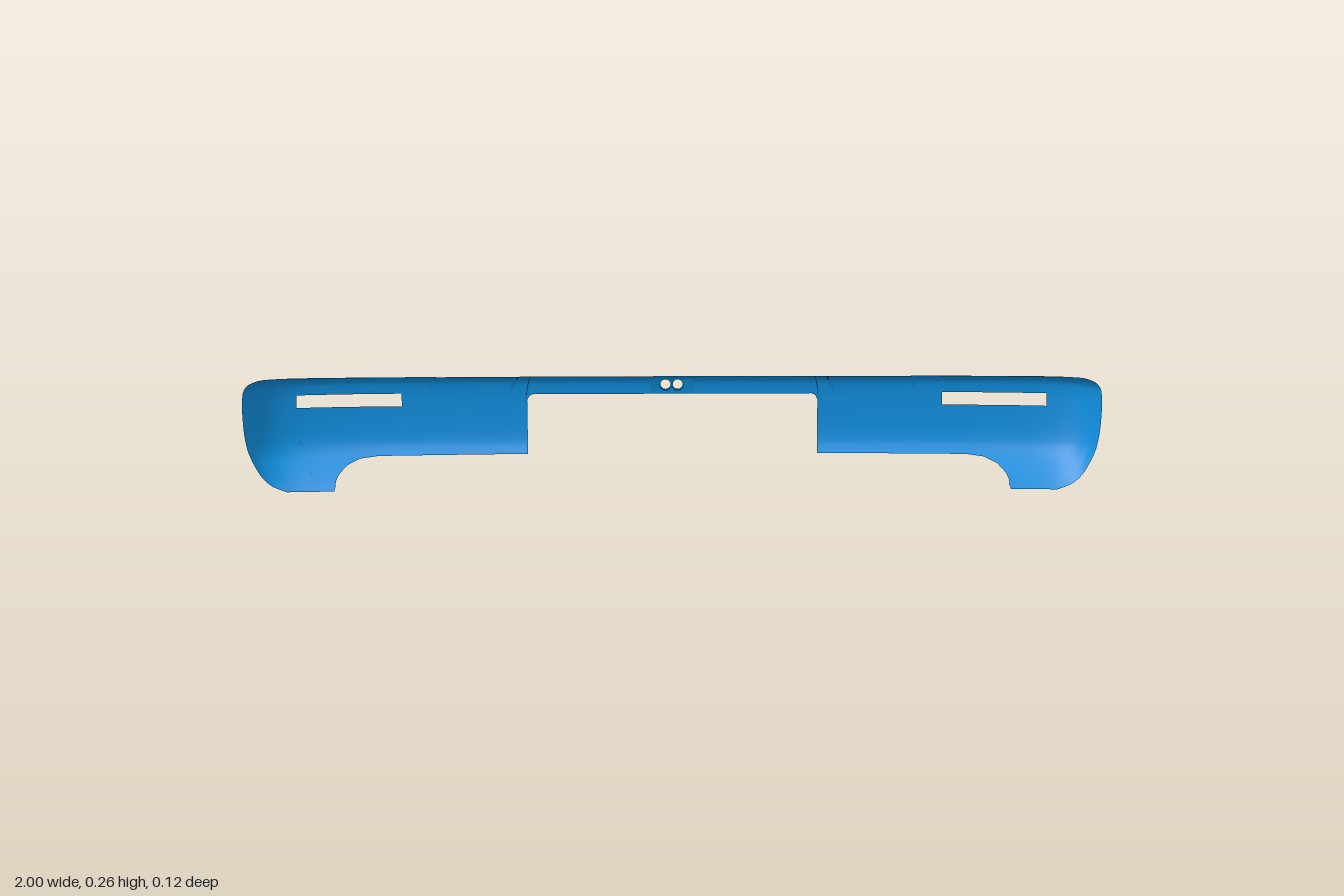
import * as THREE from 'three';

const FRONT = 0.062; // z of the open front rim

// piecewise linear / smooth lookup in a table of [key, ...values]
function segment(table, t) {
  let i = 0;
  while (i < table.length - 2 && t > table[i + 1][0]) i++;
  return i;
}
function linear(table, t) {
  const i = segment(table, t), [a, b] = [table[i], table[i + 1]];
  const f = THREE.MathUtils.clamp((t - a[0]) / (b[0] - a[0]), 0, 1);
  return a[1] + (b[1] - a[1]) * f;
}
function smooth(table, t, c = 1) {
  const i = segment(table, t), a = table[i], b = table[i + 1];
  const slope = (j) => {
    const p = table[Math.max(j - 1, 0)], q = table[Math.min(j + 1, table.length - 1)];
    return (q[c] - p[c]) / (q[0] - p[0]);
  };
  const h = b[0] - a[0], f = (t - a[0]) / h, f2 = f * f, f3 = f2 * f;
  return (2 * f3 - 3 * f2 + 1) * a[c] + (f3 - 2 * f2 + f) * h * slope(i)
    + (3 * f2 - 2 * f3) * b[c] + (f3 - f2) * h * slope(i + 1);
}

// plan curve of the outer wall: x, z
const PLAN = [[0, -0.056], [0.25, -0.056], [0.45, -0.055], [0.7, -0.046], [0.82, -0.035],
  [0.9, -0.021], [0.95, 0], [0.985, 0.036], [1, FRONT]];
// section: v, y, forward pull, narrowing of the width
const SECTION = [
  [0, 0, 0.93, 0.1], [0.012, 0.012, 0.83, 0.068], [0.035, 0.035, 0.6, 0.042],
  [0.065, 0.065, 0.3, 0.024], [0.078, 0.078, 0.19, 0.018], [0.1, 0.1, 0.09, 0.01],
  [0.14, 0.14, 0.03, 0.003], [0.2, 0.2, 0, 0], [0.235, 0.235, 0.01, 0.003],
  [0.246, 0.246, 0.04, 0.009], [0.254, 0.252, 0.1, 0.015], [0.266, 0.257, 0.22, 0.025],
  [0.29, 0.2615, 0.46, 0.037], [0.31, 0.264, 0.66, 0.05], [0.344, 0.265, 1, 0.065]];
// lower cut line and front edge of the top flange, by x
const LOWER = [[0, 0.212], [0.33, 0.212], [0.339, 0.208], [0.344, 0.198], [0.349, 0.073],
  [0.71, 0.071], [0.755, 0.066], [0.79, 0.053], [0.82, 0.033], [0.85, 0.01], [0.88, 0], [1, 0]];
const FLANGE = [[0, 0.31], [0.37, 0.31], [0.39, 0.266], [0.568, 0.266], [0.588, 0.312],
  [0.82, 0.325], [1, 0.344]];
const lower = (x) => linear(LOWER, x);
const flange = (x) => linear(FLANGE, x);

function point(x, v) {
  const z = smooth(PLAN, Math.abs(x));
  const pull = smooth(SECTION, v, 2);
  return new THREE.Vector3(x * (1 - smooth(SECTION, v, 3)), smooth(SECTION, v, 1), z + (FRONT - z) * pull);
}

// a patch of the shell between two x values and two boundary lines
function patch(x0, x1, lo, hi, cols, rows) {
  const xs = new Set();
  for (let i = 0; i <= cols; i++) xs.add(x0 + (x1 - x0) * i / cols);
  for (const [x] of [...LOWER, ...FLANGE]) if (x > x0 && x < x1) xs.add(x);
  const list = [...xs].sort((a, b) => a - b);
  const pos = [], nor = [], idx = [], e = 1e-4, n = rows + 1;
  list.forEach((x, i) => {
    for (let j = 0; j <= rows; j++) {
      const v = lo(x) + (hi(x) - lo(x)) * j / rows;
      const p = point(x, v);
      const dx = p.clone().sub(point(x - e, v));
      const dv = v > 0.2 ? p.clone().sub(point(x, v - e)) : point(x, v + e).sub(p);
      pos.push(...p.toArray());
      nor.push(...dv.cross(dx).normalize().toArray());
      if (i && j) {
        const d = i * n + j, a = d - n - 1, b = d - 1, c = d - n;
        idx.push(a, c, b, b, c, d);
      }
    }
  });
  const g = new THREE.BufferGeometry();
  g.setAttribute('position', new THREE.Float32BufferAttribute(pos, 3));
  g.setAttribute('normal', new THREE.Float32BufferAttribute(nor, 3));
  g.setIndex(idx);
  return g;
}

export function createModel() {
  const model = new THREE.Group();
  model.name = 'bumper';
  const paint = new THREE.MeshStandardMaterial({ color: 0x0f8fe0, side: THREE.DoubleSide });
  const add = (parent, name, geometry) => {
    const mesh = new THREE.Mesh(geometry, paint);
    mesh.name = name;
    parent.add(mesh);
    return mesh;
  };

  // one half of the shell, then its mirror image
  const slotLow = () => 0.185, slotHigh = () => 0.215;
  for (const side of [1, -1]) {
    const half = new THREE.Group();
    half.name = side > 0 ? 'leftHalf' : 'rightHalf';
    half.scale.x = side;
    add(half, 'centreBar', patch(0.05, 0.33, lower, flange, 10, 30));
    add(half, 'innerPanel', patch(0.33, 0.64, lower, flange, 16, 48));
    add(half, 'panelBelowSlot', patch(0.64, 0.885, lower, slotLow, 24, 32));
    add(half, 'panelAboveSlot', patch(0.64, 0.885, slotHigh, flange, 24, 24));
    add(half, 'wrapAroundEnd', patch(0.885, 1, lower, flange, 28, 56));
    model.add(half);
  }

  // middle of the bar, pierced by two round holes
  const seam = 0.249, radius = 0.012, holeY = 0.235, holeX = [-0.0165, 0.0125];
  const plate = new THREE.Shape([[-0.05, 0.212], [0.05, 0.212], [0.05, seam], [-0.05, seam]]
    .map(([x, y]) => new THREE.Vector2(x, y)));
  for (const x of holeX) plate.holes.push(new THREE.Path().absarc(x, holeY, radius, 0, Math.PI * 2, true));
  const plateGeometry = new THREE.ShapeGeometry(plate, 20);
  const p = plateGeometry.attributes.position;
  for (let i = 0; i < p.count; i++) p.setXYZ(i, ...point(p.getX(i), p.getY(i)).toArray());
  plateGeometry.computeVertexNormals();
  add(model, 'piercedPlate', plateGeometry);
  add(model, 'middleFlange', patch(-0.05, 0.05, () => seam, flange, 4, 20));

  // raised rims around the holes
  for (const x of holeX) {
    const rim = add(model, 'holeRim', new THREE.LatheGeometry(
      [[0.012, -0.004], [0.012, 0.005], [0.0135, 0.006], [0.0145, 0.004], [0.015, -0.004]]
        .map(([r, y]) => new THREE.Vector2(r, y)), 24));
    rim.rotation.x = -Math.PI / 2;
    rim.position.set(x, holeY, -0.056);
  }
  return model;
}
